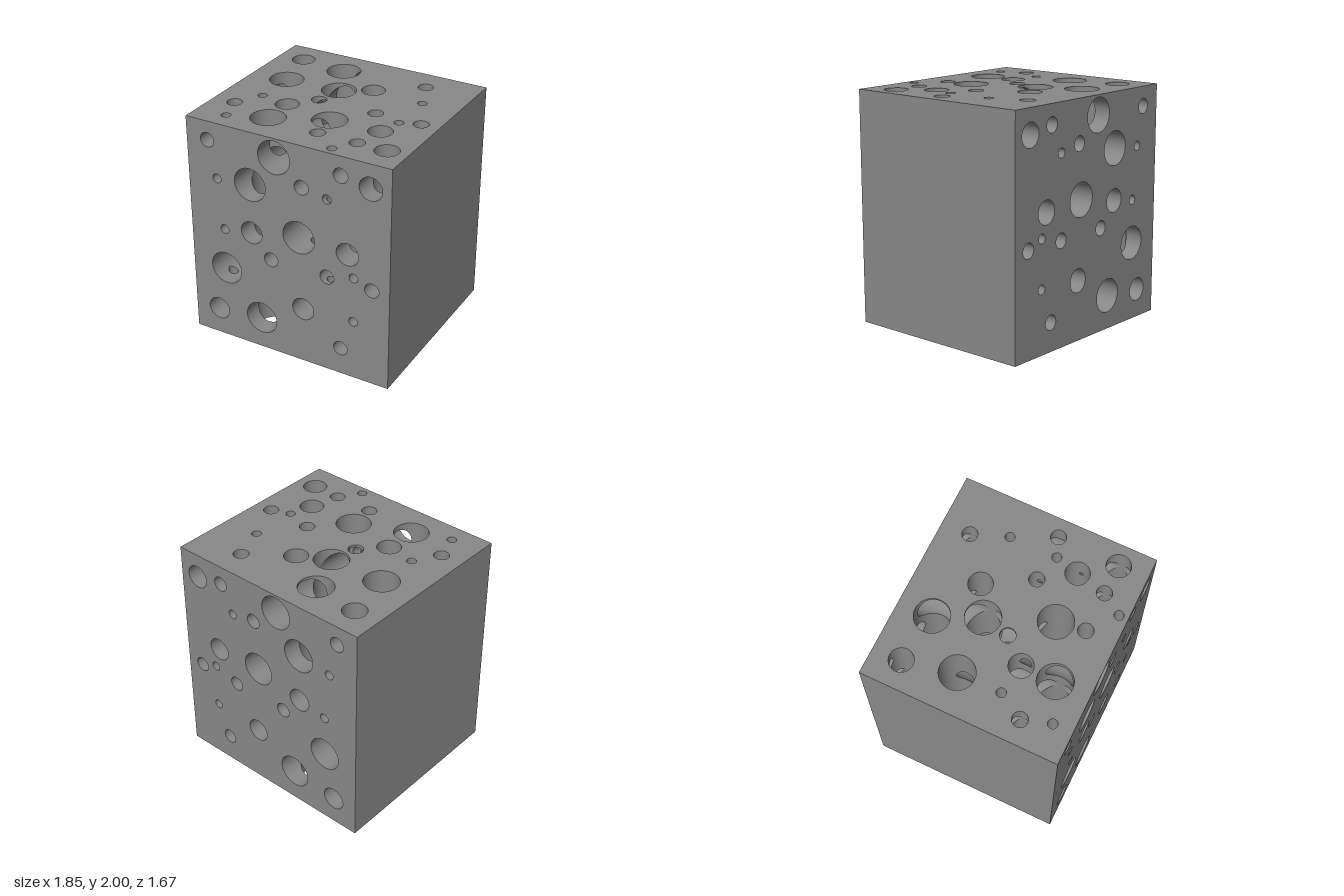
import * as THREE from 'three';

const W = 0.924, D = 0.836, H = 2; // half width, half depth, height
const BIG = 0.145, MID = 0.1, SMALL = 0.064, TINY = 0.04;

// Front-to-back tunnels: [x, y, radius]
const DEPTH_TUNNELS = [
  [-0.108, 1.834, BIG], [-0.338, 1.532, BIG], [0.106, 1.178, BIG], [-0.599, 0.678, BIG], [-0.267, 0.291, BIG],
  [0.746, 1.789, MID], [0.548, 1.156, MID], [-0.338, 1.093, MID], [0.138, 0.512, MID], [-0.694, 0.246, MID],
  [-0.728, 1.834, SMALL], [0.486, 1.834, SMALL], [0.138, 1.637, SMALL], [-0.158, 0.892, SMALL],
  [0.363, 0.892, SMALL], [0.766, 0.892, SMALL], [0.486, 0.246, SMALL],
  [0.366, 1.597, TINY], [-0.652, 1.507, TINY], [-0.599, 1.052, TINY], [0.602, 0.955, TINY], [0.602, 0.545, TINY],
];

// Top-to-bottom tunnels: [x, z, radius]
const UPRIGHT_TUNNELS = [
  [-0.267, -0.545, BIG], [-0.599, -0.161, BIG], [-0.108, -0.183, BIG], [-0.338, 0.542, BIG], [0.106, 0.34, BIG],
  [-0.694, -0.592, MID], [0.138, -0.326, MID], [-0.338, 0.254, MID], [0.548, 0.32, MID], [0.746, 0.585, MID],
  [0.486, -0.592, SMALL], [-0.158, 0.054, SMALL], [0.363, 0.054, SMALL], [0.766, 0.054, SMALL],
  [-0.728, 0.432, SMALL], [0.138, 0.579, SMALL], [0.486, 0.579, SMALL],
  [0.602, -0.294, TINY], [0.602, 0.115, TINY], [-0.599, 0.212, TINY], [-0.652, 0.668, TINY], [0.366, 0.758, TINY],
];

// Angles round a tunnel: an even ring, refined where crossing tunnels cut its wall
function ringAngles([cx, , r], crossing) {
  const angles = [];
  for (let i = 0; i <= 48; i++) angles.push((i / 48) * Math.PI * 2);
  for (const [x, , cr] of crossing) {
    for (let k = 0; k <= 10; k++) {
      const c = (x + cr * Math.cos((k / 10) * Math.PI) - cx) / r;
      if (Math.abs(c) < 1) angles.push(Math.acos(c), Math.PI * 2 - Math.acos(c));
    }
  }
  angles.sort((a, b) => a - b);
  return angles.filter((a, i) => i === 0 || a - angles[i - 1] > 1e-4);
}

// Tunnel wall in (x, v, along) space, with openings where other tunnels cross it
function tunnelWall(tunnel, crossing, from, to, upright) {
  const [cx, cv, r] = tunnel;
  const pos = [], nor = [];
  const angles = ringAngles(tunnel, crossing);
  const sorted = [...crossing].sort((a, b) => a[1] - b[1]);
  const xAt = (a) => cx + r * Math.cos(a);
  const half = ([x, , cr], a) => Math.sqrt(Math.max(0, cr * cr - (xAt(a) - x) ** 2));
  const put = (a, along) => {
    const c = Math.cos(a), s = Math.sin(a), v = cv + r * s;
    pos.push(...(upright ? [xAt(a), along, v] : [xAt(a), v, along]));
    nor.push(...(upright ? [-c, 0, -s] : [-c, -s, 0]));
  };
  for (let i = 0; i + 1 < angles.length; i++) {
    let a = angles[i], b = angles[i + 1];
    const mid = xAt((a + b) / 2);
    if (upright) [a, b] = [b, a]; // keeps the wall facing into the tunnel
    let start = [from, from];
    const panel = (end) => {
      put(a, start[0]); put(b, end[1]); put(b, start[1]);
      put(a, start[0]); put(a, end[0]); put(b, end[1]);
    };
    for (const t of sorted) {
      if (Math.abs(mid - t[0]) >= t[2]) continue;
      const ha = half(t, a), hb = half(t, b);
      panel([t[1] - ha, t[1] - hb]);
      start = [t[1] + ha, t[1] + hb];
    }
    panel([to, to]);
  }
  const g = new THREE.BufferGeometry();
  g.setAttribute('position', new THREE.Float32BufferAttribute(pos, 3));
  g.setAttribute('normal', new THREE.Float32BufferAttribute(nor, 3));
  return g;
}

// Flat rectangle pierced by the tunnel mouths
function piercedFace(v0, v1, tunnels, crossing) {
  const shape = new THREE.Shape([
    new THREE.Vector2(-W, v0), new THREE.Vector2(W, v0), new THREE.Vector2(W, v1), new THREE.Vector2(-W, v1),
  ]);
  for (const t of tunnels) {
    const pts = ringAngles(t, crossing).slice(0, -1)
      .map((a) => new THREE.Vector2(t[0] + t[2] * Math.cos(a), t[1] + t[2] * Math.sin(a)));
    shape.holes.push(new THREE.Path(pts));
  }
  return new THREE.ShapeGeometry(shape);
}

// Copy of a face turned to look the other way
function flipped(geometry) {
  const g = geometry.clone();
  g.setIndex(Array.from(g.index.array).reverse());
  g.computeVertexNormals();
  return g;
}

export function createModel() {
  const model = new THREE.Group();
  model.name = 'piercedBlock';
  const material = new THREE.MeshStandardMaterial({ color: 0x888888 });
  const add = (name, geometry, parent = model) => {
    const mesh = new THREE.Mesh(geometry, material);
    mesh.name = name;
    parent.add(mesh);
    return mesh;
  };

  // Front and back faces
  const front = piercedFace(0, H, DEPTH_TUNNELS, UPRIGHT_TUNNELS);
  add('frontFace', front).position.z = D;
  add('backFace', flipped(front)).position.z = -D;

  // Bottom and top faces
  const bottom = piercedFace(-D, D, UPRIGHT_TUNNELS, DEPTH_TUNNELS).rotateX(Math.PI / 2);
  add('bottomFace', bottom);
  add('topFace', flipped(bottom)).position.y = H;

  // Solid side faces
  for (const [name, side] of [['leftFace', 1], ['rightFace', -1]]) {
    const face = add(name, new THREE.PlaneGeometry(2 * D, H).rotateY((side * Math.PI) / 2));
    face.position.set(side * W, H / 2, 0);
  }

  // Tunnel walls, open to each other where they meet
  const depthGroup = new THREE.Group();
  depthGroup.name = 'depthTunnels';
  const uprightGroup = new THREE.Group();
  uprightGroup.name = 'uprightTunnels';
  model.add(depthGroup, uprightGroup);
  for (const t of DEPTH_TUNNELS) {
    add('depthTunnelWall', tunnelWall(t, UPRIGHT_TUNNELS, -D, D, false), depthGroup);
  }
  for (const t of UPRIGHT_TUNNELS) {
    add('uprightTunnelWall', tunnelWall(t, DEPTH_TUNNELS, 0, H, true), uprightGroup);
  }
  return model;
}
